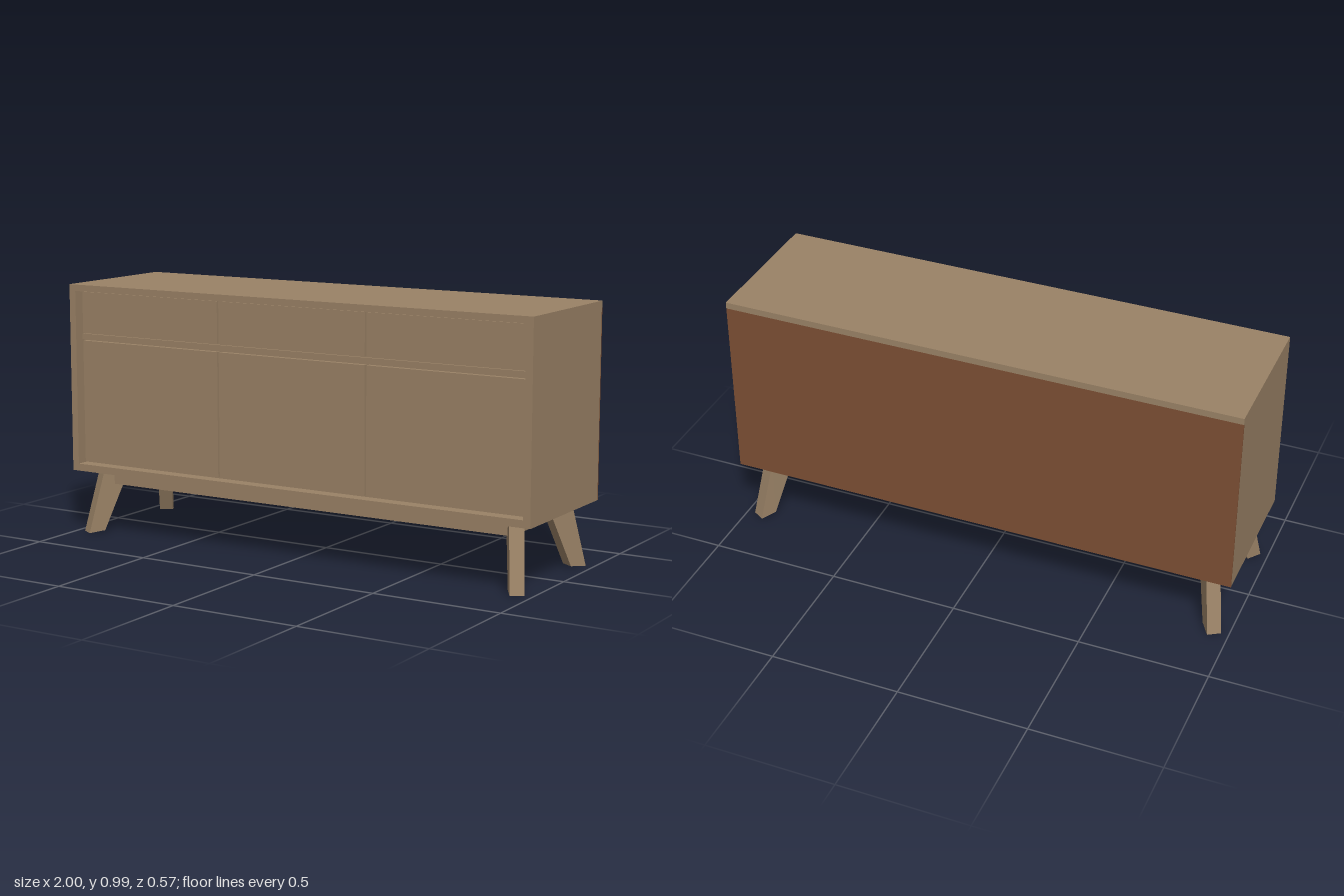
import * as THREE from 'three';

export function createModel() {
  const model = new THREE.Group();
  model.name = 'sideboard';
  const wood = new THREE.MeshStandardMaterial({ color: 0x9a8266 });
  wood.name = 'oak wood';
  const brown = new THREE.MeshStandardMaterial({ color: 0x7c4f34 });
  brown.name = 'brown backing';

  // Box given by its minimum and maximum corners
  function box(name, x0, x1, y0, y1, z0, z1, material = wood) {
    const mesh = new THREE.Mesh(new THREE.BoxGeometry(x1 - x0, y1 - y0, z1 - z0), material);
    mesh.position.set((x0 + x1) / 2, (y0 + y1) / 2, (z0 + z1) / 2);
    mesh.name = name;
    model.add(mesh);
  }

  // Cabinet shell, open at the front
  const D = 0.283, back = -0.278, T = 0.028;
  const bottom = 0.248, top = 0.985, inner = 1 - T;
  box('topBoard', -1, 1, top - T + 0.003, top, -D, D);
  box('bottomBoard', -inner, inner, bottom, bottom + T, back, D);
  box('leftSide', inner, 1, bottom, top - T + 0.003, back, D);
  box('rightSide', -1, -inner, bottom, top - T + 0.003, back, D);
  box('backPanel', -1, 1, bottom, top - T + 0.003, -D, back, brown);

  // Recessed core seen in the gaps, and the finger-pull rail
  box('core', -inner, inner, bottom + T, top - T + 0.003, 0.2, 0.232);
  box('rail', -inner, inner, 0.768, 0.789, 0.232, 0.243);

  // Three drawers over three doors
  const pitch = 0.643, half = 0.318, front = 0.253;
  for (let i = -1; i <= 1; i++) {
    const x = i * pitch;
    box('drawerFront', x - half, x + half, 0.795, 0.955, 0.232, front);
    box('door', x - half, x + half, 0.284, 0.763, 0.232, front);
  }

  // Apron frame under the cabinet
  const ax = 0.885, az = 0.19, w = 0.035, ay = 0.19;
  for (const s of [-1, 1]) {
    const z = s * (az - w / 2), x = s * (ax - w / 2);
    box('longApron', -ax, ax, ay, bottom, z - w / 2, z + w / 2);
    box('endApron', x - w / 2, x + w / 2, ay, bottom, -az + w, az - w);
  }

  // Splayed, tapered legs, set diagonally at the corners
  const foot = [[0.925, 0, 0.283], [0.97, 0, 0.255], [0.935, 0.006, 0.2], [0.89, 0.006, 0.228]];
  const head = [[0.89, bottom, 0.225], [0.935, bottom, 0.197], [0.879, bottom, 0.108], [0.834, bottom, 0.136]];
  function legGeometry(sx, sz) {
    const pos = [];
    const quad = (a, b, c, d) => {
      const order = sx * sz > 0 ? [a, b, c, a, c, d] : [a, c, b, a, d, c];
      for (const p of order) pos.push(p[0] * sx, p[1], p[2] * sz);
    };
    for (let i = 0; i < 4; i++) {
      const j = (i + 1) % 4;
      quad(foot[i], foot[j], head[j], head[i]);
    }
    quad(head[0], head[1], head[2], head[3]);
    quad(foot[3], foot[2], foot[1], foot[0]);
    const g = new THREE.BufferGeometry();
    g.setAttribute('position', new THREE.Float32BufferAttribute(pos, 3));
    g.computeVertexNormals();
    return g;
  }
  for (const sx of [-1, 1]) {
    for (const sz of [-1, 1]) {
      const leg = new THREE.Mesh(legGeometry(sx, sz), wood);
      leg.name = (sz > 0 ? 'front' : 'back') + (sx > 0 ? 'Left' : 'Right') + 'Leg';
      model.add(leg);
    }
  }
  return model;
}
